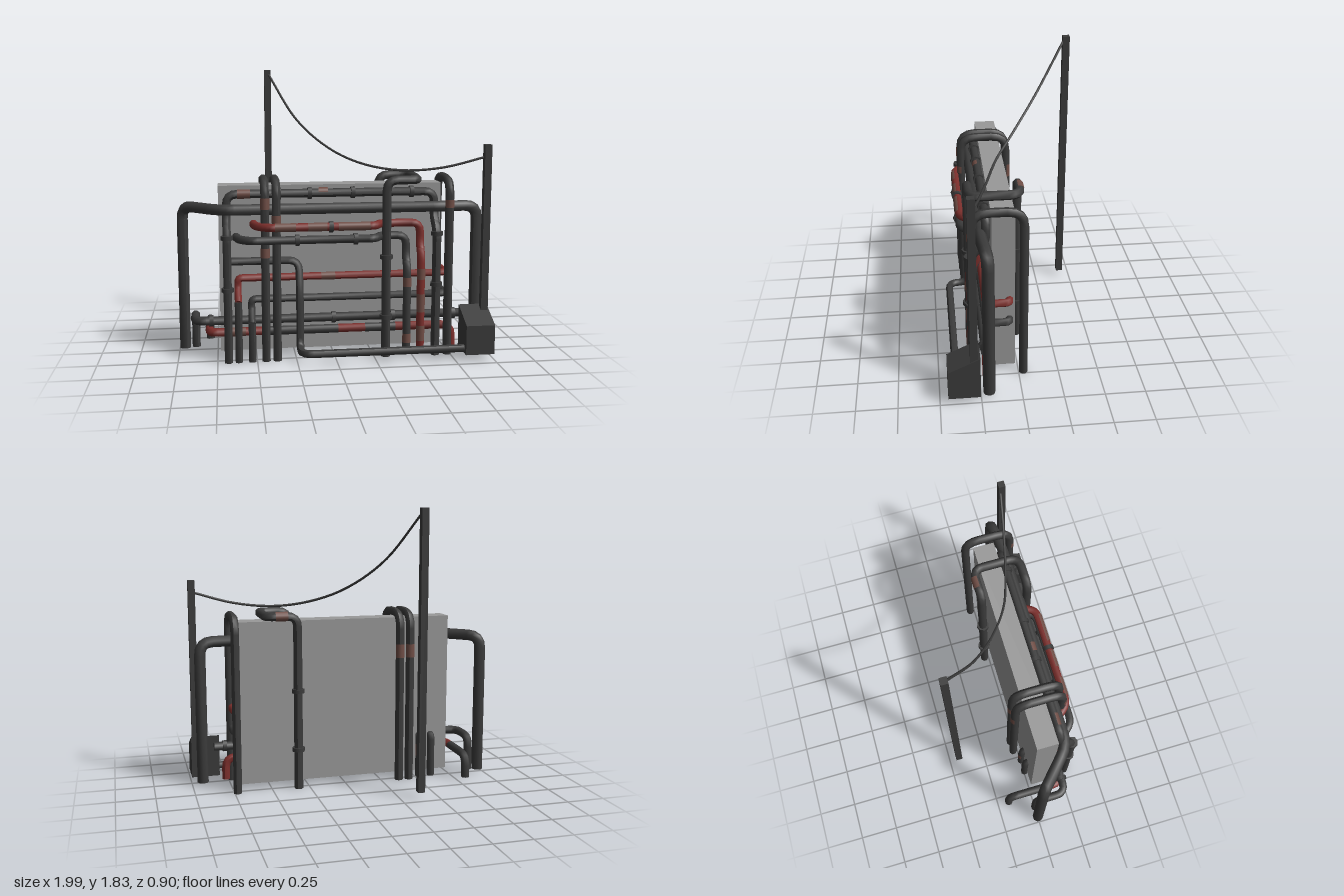
import * as THREE from 'three';

const V = (a) => new THREE.Vector3(...a);
const UP = new THREE.Vector3(0, 1, 0);

const material = (name, color) => {
  const m = new THREE.MeshStandardMaterial({ color });
  m.name = name;
  return m;
};

// Rounds the corners of a polyline with a few straight steps each.
function roundedPath(points, bend, steps = 4) {
  const p = points.map(V), out = [p[0]];
  for (let i = 1; i < p.length - 1; i++) {
    const before = p[i - 1].clone().sub(p[i]), after = p[i + 1].clone().sub(p[i]);
    const d = Math.min(bend, before.length() * 0.48, after.length() * 0.48);
    const curve = new THREE.QuadraticBezierCurve3(
      p[i].clone().addScaledVector(before.normalize(), d), p[i],
      p[i].clone().addScaledVector(after.normalize(), d));
    out.push(...curve.getPoints(steps));
  }
  out.push(p[p.length - 1]);
  return out;
}

// Sweeps a capped ring along a path.
function sweep(path, r, sides = 8) {
  const pos = [], idx = [], n = path.length, normal = new THREE.Vector3();
  const ring = (c, t) => {
    const start = pos.length / 3;
    const b = t.clone().cross(normal);
    for (let j = 0; j <= sides; j++) {
      const a = (j + 0.5) / sides * Math.PI * 2;
      const q = c.clone().addScaledVector(normal, Math.cos(a) * r).addScaledVector(b, Math.sin(a) * r);
      pos.push(q.x, q.y, q.z);
    }
    return start;
  };
  const cap = (c, t, flip) => {
    const s = ring(c, t), centre = pos.length / 3;
    pos.push(c.x, c.y, c.z);
    for (let j = 0; j < sides; j++) idx.push(centre, flip ? s + j + 1 : s + j, flip ? s + j : s + j + 1);
  };
  for (let i = 0; i < n; i++) {
    const t = path[Math.min(i + 1, n - 1)].clone().sub(path[Math.max(i - 1, 0)]).normalize();
    if (i === 0) normal.set(Math.abs(t.z) > 0.9 ? 1 : 0, 0, Math.abs(t.z) > 0.9 ? 0 : 1);
    normal.addScaledVector(t, -normal.dot(t)).normalize();
    if (i === 0) cap(path[i], t, true);
    const s = ring(path[i], t);
    if (i < n - 1) {
      const next = i === n - 2 ? s + sides + 1 : s + sides + 1;
      for (let j = 0; j < sides; j++) {
        idx.push(s + j, s + j + 1, next + j, s + j + 1, next + j + 1, next + j);
      }
    } else cap(path[i], t, false);
  }
  const g = new THREE.BufferGeometry();
  g.setAttribute('position', new THREE.Float32BufferAttribute(pos, 3));
  g.setIndex(idx);
  g.computeVertexNormals();
  return g;
}

export function createModel() {
  const model = new THREE.Group();
  model.name = 'wallPipework';
  const dark = material('dark metal', 0x3b3b3b);
  const grey = material('wall grey', 0x999999);
  const red = material('red paint', 0x7c2f2c);
  const rust = material('rust', 0x6f4d45);

  const add = (name, geometry, mat, at = [0, 0, 0]) => {
    const m = new THREE.Mesh(geometry, mat);
    m.name = name;
    m.position.set(...at);
    model.add(m);
    return m;
  };
  const box = (name, size, at, mat) => add(name, new THREE.BoxGeometry(...size), mat, at);
  const pipe = (name, points, r = 0.028, mat = dark, bend = 0.07) =>
    add(name, sweep(roundedPath(points, bend), r), mat);
  // Collar around a straight run, along axis 'x' or 'y'.
  const collar = (axis, at, r = 0.038) => {
    const m = add('pipeCollar', new THREE.CylinderGeometry(r, r, 0.026, 8), dark, at);
    if (axis === 'x') m.rotation.z = Math.PI / 2;
  };
  // Thin curved flake of another colour on a straight run.
  const flake = (axis, at, length, r = 0.028, mat = rust, start = -1.4, arc = 3) => {
    const g = new THREE.CylinderGeometry(r + 0.002, r + 0.002, length, 7, 1, true, start, arc);
    const m = add('paintFlake', g, mat, at);
    if (axis === 'x') m.quaternion.setFromUnitVectors(UP, new THREE.Vector3(1, 0, 0));
  };

  // Wall, poles and cable
  box('wallPanel', [1.43, 1.07, 0.14], [-0.015, 0.585, 0.09], grey);
  box('rearPole', [0.045, 1.79, 0.045], [-0.382, 0.945, -0.43], dark);
  box('frontPole', [0.045, 1.1, 0.045], [0.966, 0.823, 0.292], dark);
  const cable = new THREE.CatmullRomCurve3([[-0.38, 1.82, -0.42], [-0.2, 1.51, -0.21], [0, 1.33, -0.04],
    [0.2, 1.24, 0.085], [0.44, 1.203, 0.165], [0.7, 1.225, 0.23], [0.965, 1.297, 0.285]].map(V));
  add('hangingCable', new THREE.TubeGeometry(cable, 32, 0.008, 6), dark);

  // Junction box with a sloping top
  const profile = new THREE.Shape([[-0.45, 0.05], [-0.255, 0.05], [-0.255, 0.33], [-0.45, 0.24]]
    .map(([x, y]) => new THREE.Vector2(x, y)));
  const cabinet = add('junctionBox',
    new THREE.ExtrudeGeometry(profile, { depth: 0.185, bevelEnabled: false }), dark, [0.812, 0, 0]);
  cabinet.rotation.y = Math.PI / 2;

  // Large frame pipe
  pipe('outerFramePipe', [[-0.962, 0.03, 0], [-0.962, 0.975, 0], [-0.72, 0.975, 0.225],
    [0.72, 0.975, 0.225], [0.93, 0.975, 0.2], [0.93, 0.03, 0.2]], 0.037, dark, 0.085);

  // Inner frame pipe, stepping forward below the large one
  pipe('innerFramePipe', [[-0.68, 0.01, 0.285], [-0.68, 0.83, 0.285], [-0.68, 0.91, 0.19],
    [-0.68, 1.07, 0.19], [0.65, 1.07, 0.19], [0.65, 0.91, 0.19], [0.65, 0.83, 0.285], [0.65, 0.01, 0.285]]);
  for (const x of [-0.35, -0.155, 0.12, 0.5]) collar('x', [x, 1.07, 0.19]);
  for (const x of [-0.68, 0.65]) for (const y of [0.81, 0.48]) collar('y', [x, y, 0.285]);
  flake('x', [-0.57, 1.07, 0.19], 0.08);
  flake('x', [-0.07, 1.075, 0.19], 0.06, 0.028, rust, -1.6, 1.5);

  // Pipes looping over the wall
  for (const x of [-0.443, -0.372, 0.73]) {
    pipe('overWallPipe', [[x, 0.01, 0.28], [x, 1.15, 0.28], [x, 1.15, -0.03], [x, 0.01, -0.03]], 0.028, dark, 0.1);
  }
  flake('y', [-0.443, 1.02, 0.28], 0.07);
  flake('y', [-0.443, 0.71, 0.28], 0.06);
  flake('y', [-0.372, 0.92, 0.28], 0.05);
  flake('y', [0.73, 1.0, 0.28], 0.05);
  for (const x of [-0.443, -0.372]) flake('y', [x, 0.9, -0.03], 0.09, 0.028, rust, 1.7, 2.6);

  // Hooked pipe over the top
  pipe('hookedPipe', [[0.325, 0.01, 0.28], [0.325, 1.155, 0.28], [0.53, 1.155, 0.28],
    [0.53, 1.155, -0.03], [0.325, 1.155, -0.03], [0.325, 0.01, -0.03]], 0.029);
  for (const z of [0.28, -0.03]) for (const y of [0.665, 0.275]) collar('y', [0.325, y, z], 0.042);
  flake('x', [0.43, 1.155, -0.03], 0.08, 0.029, rust, 1.5, 3.5);

  // Twin pipes stepping around the uprights
  const stepped = (name, y, x0, x1, r, mat) => pipe(name, [[x0, y, 0.15], [x0, y, 0.235], [x0 + 0.07, y, 0.325],
    [0.25, y, 0.325], [0.29, y, 0.235], [x1, y, 0.235], [x1, y - 0.13, 0.235], [x1, y - 0.21, 0.285],
    [x1, 0.035, 0.285]], r, mat, 0.06);
  stepped('upperSteppedPipe', 0.875, -0.51, 0.55, 0.026, red);
  stepped('lowerSteppedPipe', 0.795, -0.62, 0.46, 0.026, dark);
  for (const x of [-0.245, -0.035]) collar('x', [x, x < -0.1 ? 0.795 : 0.875, 0.325], 0.036);
  collar('x', [0.12, 0.795, 0.325], 0.036);
  for (const [x, l] of [[-0.32, 0.13], [-0.12, 0.12], [0.11, 0.2]]) flake('x', [x, 0.875, 0.325], l, 0.026);
  for (const [y, l] of [[0.55, 0.07], [0.36, 0.12], [0.16, 0.1]]) flake('y', [0.55, y, 0.285], l, 0.026);
  flake('y', [0.46, 0.5, 0.285], 0.06, 0.026);
  flake('y', [0.46, 0.13, 0.285], 0.06, 0.026);

  // Twin pipes wrapping round the end of the wall
  const wrapping = (name, y, x, mat) => pipe(name, [[x, y - 0.14, 0.285], [x, y - 0.06, 0.2], [x, y, 0.2],
    [0.735, y, 0.2], [0.735, y, 0.055], [0.68, y, 0.055]], 0.024, mat, 0.05);
  wrapping('redWrappingPipe', 0.535, -0.615, red);
  wrapping('darkWrappingPipe', 0.395, -0.53, dark);
  pipe('wrappingPipeLeg', [[-0.615, 0.01, 0.285], [-0.615, 0.4, 0.285]], 0.025);
  pipe('wrappingPipeLeg', [[-0.53, 0.01, 0.285], [-0.53, 0.262, 0.285]], 0.025);
  flake('x', [-0.04, 0.535, 0.2], 0.09, 0.024);

  // Short rear stubs bending into the wall
  for (const x of [-0.615, -0.53]) {
    pipe('rearStub', [[x, 0.01, 0.005], [x, 0.3, 0.005], [x, 0.3, 0.08]], 0.025);
  }
  flake('y', [-0.53, 0.2, 0.005], 0.08, 0.025, rust, 1.7, 2.6);

  // Pipe dropping from the wall to the junction box
  pipe('dropPipe', [[-0.66, 0.64, 0.19], [-0.225, 0.64, 0.19], [-0.225, 0.44, 0.25], [-0.225, 0.08, 0.25],
    [-0.225, 0.08, 0.395], [0.83, 0.08, 0.395]], 0.025);

  // Low runs along the base
  pipe('upperBasePipe', [[-0.89, 0.035, 0], [-0.89, 0.265, 0], [-0.89, 0.265, 0.215], [0.85, 0.265, 0.215]]);
  for (const x of [-0.785, -0.005, 0.38, 0.78]) collar('x', [x, 0.265, 0.215]);
  pipe('lowerBaseReturn', [[-0.8, 0.035, -0.17], [-0.8, 0.185, -0.17], [-0.8, 0.185, 0.1]], 0.028);
  pipe('lowerBasePipe', [[-0.8, 0.185, 0.1], [-0.8, 0.185, 0.205], [0.775, 0.185, 0.205],
    [0.775, 0.04, 0.205]], 0.027, red);
  for (const [x, l] of [[-0.2, 0.45], [0.3, 0.2]]) flake('x', [x, 0.185, 0.205], l, 0.027, dark, -1.5, 2.6);
  flake('x', [-0.62, 0.185, 0.205], 0.1, 0.027);

  return model;
}
